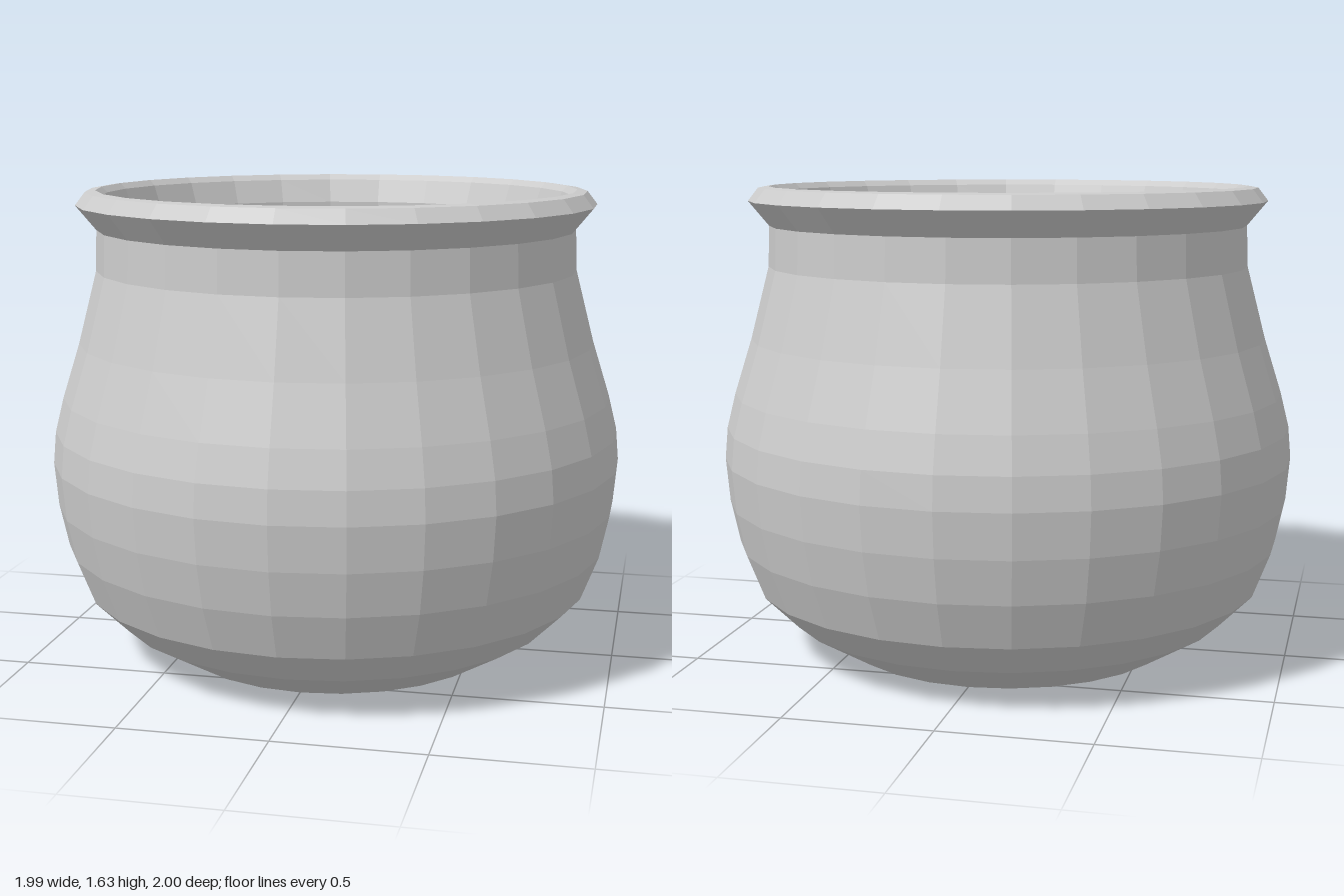
import * as THREE from 'three';

const SIDES = 26;

export function createModel() {
  const pot = new THREE.Group();
  pot.name = 'pot';
  const material = new THREE.MeshStandardMaterial({ color: 0xcccccc, flatShading: true });

  // Revolve a [radius, height] profile; running up the outside and down the inside faces outward
  const turn = (name, profile) => {
    const points = profile.map(([r, y]) => new THREE.Vector2(r, y));
    const mesh = new THREE.Mesh(new THREE.LatheGeometry(points, SIDES), material);
    mesh.name = name;
    pot.add(mesh);
  };

  // Flat base, round belly and straight neck
  turn('body', [
    [0, 0], [0.58, 0], [0.78, 0.12], [0.895, 0.235], [0.955, 0.39], [0.987, 0.54], [1, 0.69],
    [0.99, 0.8], [0.96, 0.92], [0.9, 1.11], [0.835, 1.36], [0.83, 1.5],
  ]);

  // Bevelled lip, rolling over into the mouth
  turn('rim', [
    [0.83, 1.5], [0.9, 1.585], [0.865, 1.63], [0.83, 1.635], [0.81, 1.615], [0.78, 1.53],
  ]);

  // Neck inside, widening down towards the belly
  turn('innerWall', [[0.78, 1.53], [0.78, 1.17], [0.925, 0.85]]);

  // Flat surface closing the inside
  turn('innerFloor', [[0.925, 0.85], [0, 0.85]]);

  return pot;
}
